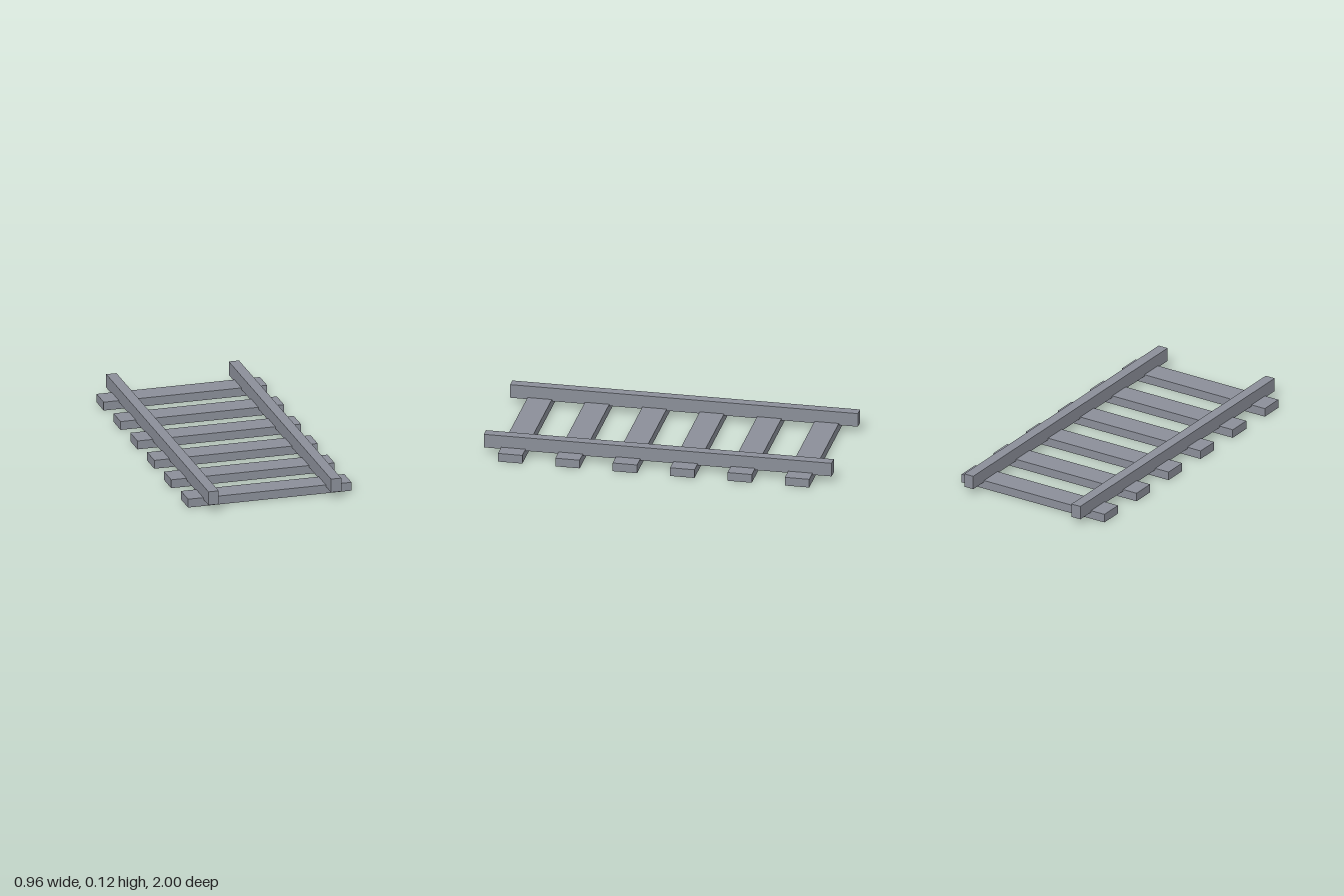
import * as THREE from 'three';

export function createModel() {
  const model = new THREE.Group();
  model.name = 'railTrack';
  const steel = new THREE.MeshStandardMaterial({ color: 0x8b8f99 });
  steel.name = 'blueGrey';

  function addBox(name, size, position) {
    const mesh = new THREE.Mesh(new THREE.BoxGeometry(...size), steel);
    mesh.name = name;
    mesh.position.set(...position);
    model.add(mesh);
  }

  // Two rails, slightly sunk into the sleepers
  addBox('leftRail', [0.06, 0.08, 2], [0.36, 0.08, 0]);
  addBox('rightRail', [0.06, 0.08, 2], [-0.36, 0.08, 0]);

  // Six evenly spaced sleepers
  for (let i = 0; i < 6; i++) {
    addBox(`sleeper${i + 1}`, [0.96, 0.05, 0.14], [0, 0.025, -0.82 + i * 0.33]);
  }

  return model;
}
